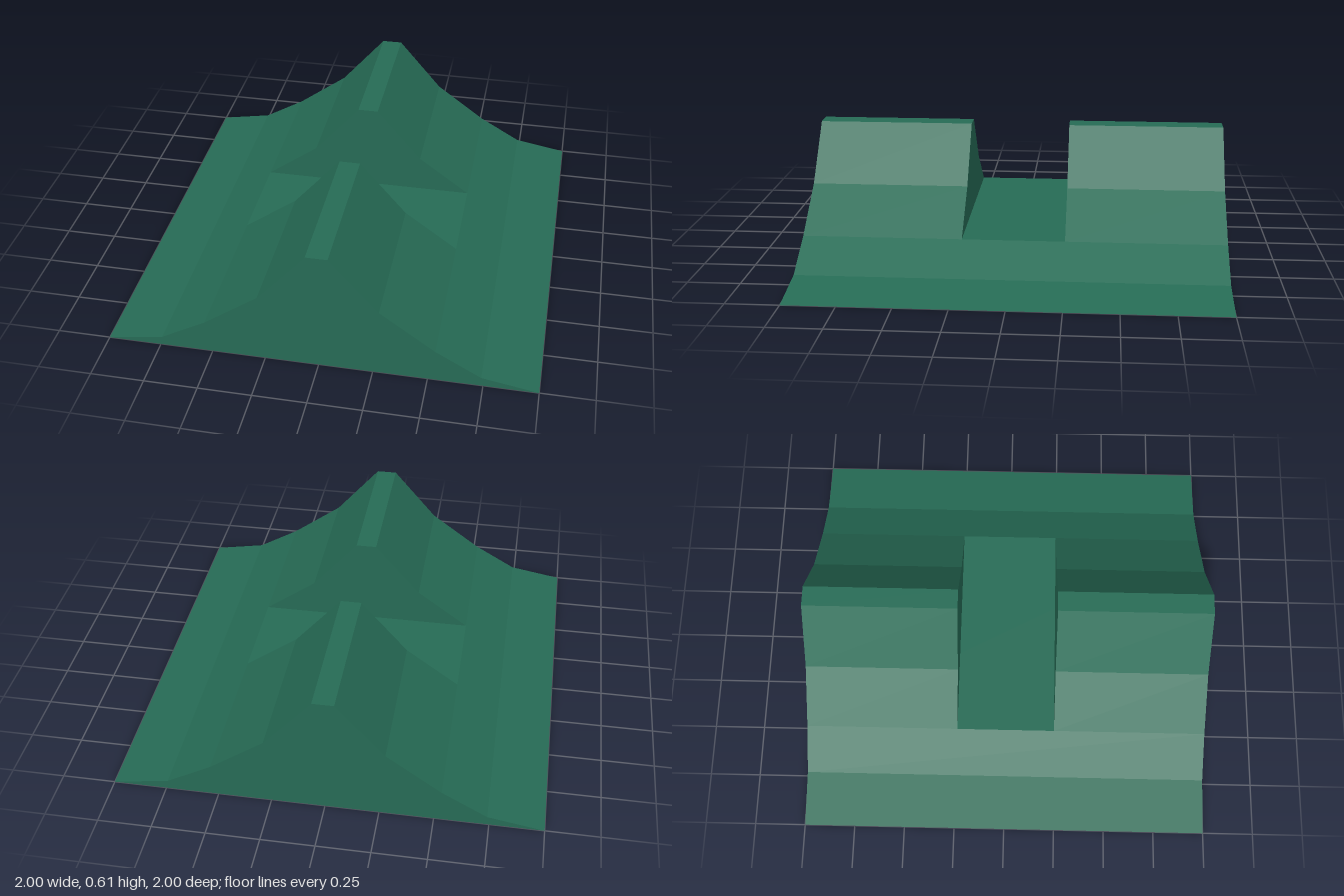
import * as THREE from 'three';

const green = new THREE.MeshStandardMaterial({ color: 0x266b55 });
green.name = 'deep green';

// Right half of the slope, from the foot to the crest
const foot = [[1, 0], [0.74, 0.045], [0.53, 0.165]];
const crest = [[0.53, 0.165], [0.275, 0.35], [0.05, 0.61]];

// Mirrors a half profile and extrudes it along z
function prism(name, half, z0, z1) {
  const mirrored = half.map(([x, y]) => [-x, y]).reverse();
  const shape = new THREE.Shape([...half, ...mirrored].map(([x, y]) => new THREE.Vector2(x, y)));
  const geometry = new THREE.ExtrudeGeometry(shape, { depth: z1 - z0, bevelEnabled: false });
  geometry.translate(0, 0, z0);
  const mesh = new THREE.Mesh(geometry, green);
  mesh.name = name;
  return mesh;
}

export function createModel() {
  const group = new THREE.Group();
  group.name = 'notchedRidge';
  // Broad sloping base, whose flat top is the floor of the notch
  group.add(prism('base', foot, -1, 1));
  // Two ridges with the notch between them
  group.add(prism('frontRidge', crest, 0.243, 1));
  group.add(prism('backRidge', crest, -1, -0.243));
  return group;
}
